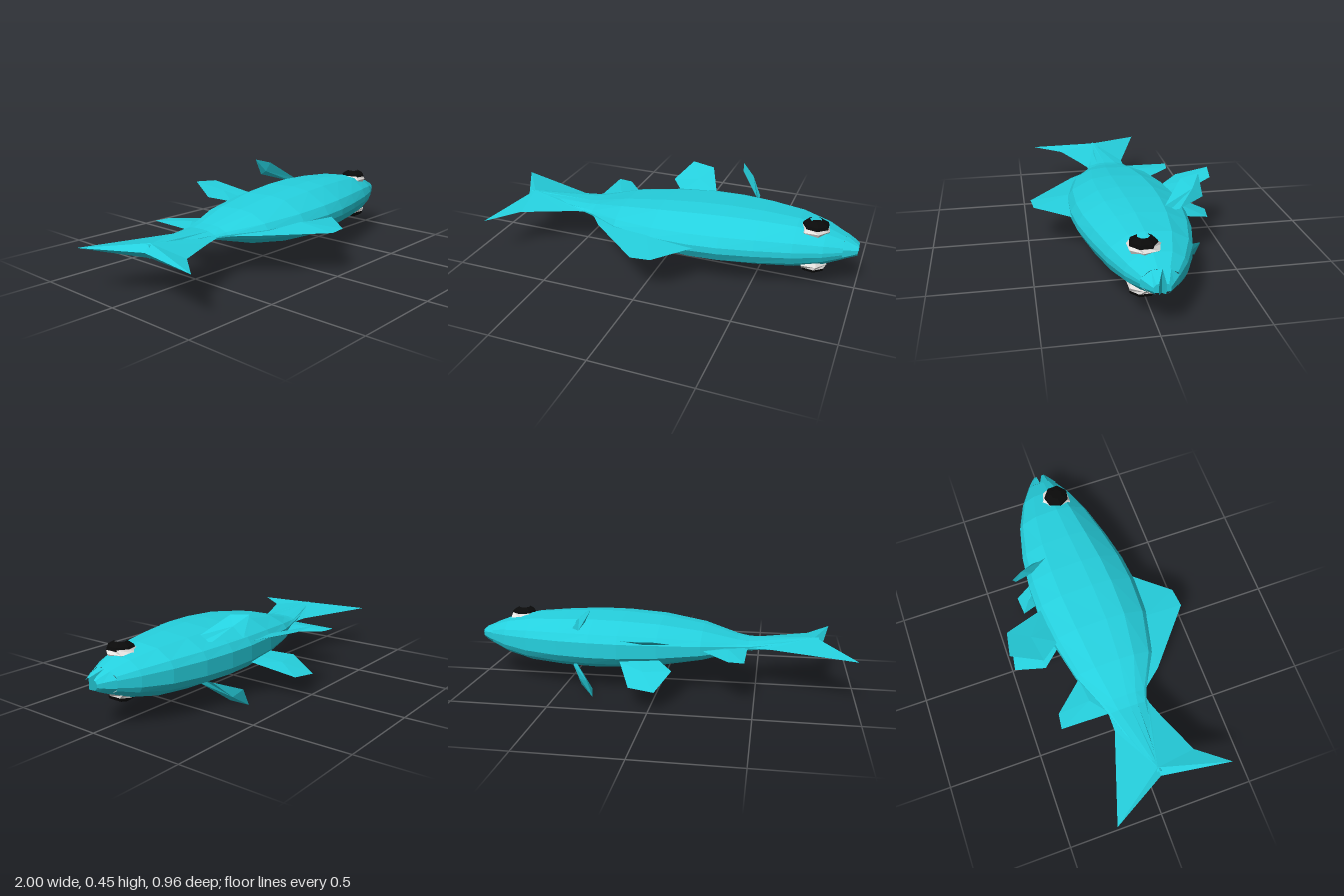
import * as THREE from 'three';

const MID = 0.225; // height of the plane of symmetry (the fish lies on its side)

// Flat-shaded closed mesh from triangles of [x, y, z] points, wound outward by its signed volume
function solid(name, tris, material) {
  const v = tris.map((t) => t.map((p) => new THREE.Vector3(...p)));
  const ref = v[0][0].clone();
  let volume = 0;
  for (const [a, b, c] of v) {
    volume += a.clone().sub(ref).dot(b.clone().sub(ref).cross(c.clone().sub(ref)));
  }
  const points = v.flatMap(([a, b, c]) => (volume < 0 ? [a, c, b] : [a, b, c]));
  const geometry = new THREE.BufferGeometry().setFromPoints(points);
  geometry.computeVertexNormals();
  const mesh = new THREE.Mesh(geometry, material);
  mesh.name = name;
  return mesh;
}

// Skin between equal-sized rings, with a fan cap on both ends
function loft(rings) {
  const tris = [];
  const n = rings[0].length;
  for (let i = 0; i < rings.length - 1; i++) {
    const a = rings[i], b = rings[i + 1];
    for (let j = 0; j < n; j++) {
      const k = (j + 1) % n;
      tris.push([a[j], b[j], b[k]], [a[j], b[k], a[k]]);
    }
  }
  const cap = (r, flip) => {
    const c = [0, 1, 2].map((k) => r.reduce((s, p) => s + p[k], 0) / n);
    r.forEach((p, j) => {
      const q = r[(j + 1) % n];
      tris.push(flip ? [c, q, p] : [c, p, q]);
    });
  };
  cap(rings[0], true);
  cap(rings[rings.length - 1], false);
  return tris;
}

// Thin lens: an outline joined to a raised centre on both sides
function lens(outline, centre, offset) {
  const up = centre.map((c, k) => c + offset[k]);
  const down = centre.map((c, k) => c - offset[k]);
  return outline.flatMap((p, j) => {
    const q = outline[(j + 1) % outline.length];
    return [[up, p, q], [down, q, p]];
  });
}

// Lens lying in the plane of symmetry, outline given as [x, z]
function flatFin(outline, centre, thickness) {
  return lens(outline.map(([x, z]) => [x, MID, z]), [centre[0], MID, centre[1]], [0, thickness, 0]);
}

// Half cross-section: [fraction along back-to-belly, fraction of half thickness]
const HALF = [[1, 0.12], [0.9, 0.46], [0.5, 0.91], [0.12, 1], [-0.5, 0.92], [-0.9, 0.56], [-1, 0.28]];
const SECTION = [...HALF, ...HALF.map(([c, s]) => [c, -s]).reverse()];

function bodyRing([x, back, belly, t]) {
  const mid = (back + belly) / 2, half = (back - belly) / 2;
  return SECTION.map(([c, s]) => [x, MID + s * t, mid + c * half]);
}

// Jaw section from the lip line to the outer edge
function jawRing(x, lip, outer, t) {
  const half = [[0, 1], [0.5, 0.92], [1, 0.35]];
  return [...half, ...half.map(([c, s]) => [c, -s]).reverse()]
    .map(([c, s]) => [x, MID + s * t, lip + (outer - lip) * c]);
}

function eyeRing(x, z, r, height, side, turn) {
  return Array.from({ length: 7 }, (_, i) => {
    const a = (i / 7) * Math.PI * 2 + turn;
    return [x + r * Math.cos(a), MID + side * height, z + r * Math.sin(a)];
  });
}

export function createModel() {
  const skin = new THREE.MeshStandardMaterial({ color: 0x25d0de });
  skin.name = 'turquoise skin';
  const white = new THREE.MeshStandardMaterial({ color: 0xeeebe8 });
  white.name = 'eye white';
  const black = new THREE.MeshStandardMaterial({ color: 0x0a0a0a });
  black.name = 'pupil black';
  for (const m of [skin, white, black]) m.flatShading = true;

  const fish = new THREE.Group();
  fish.name = 'fish';
  const add = (name, tris, material = skin) => fish.add(solid(name, tris, material));

  // Body, from the tail ridge to the mouth corner: [x, back z, belly z, half thickness]
  add('body', loft([
    [-0.82, 0.055, 0.02, 0.034],
    [-0.46, 0.11, -0.10, 0.025],
    [-0.40, 0.13, -0.12, 0.036],
    [-0.22, 0.23, -0.195, 0.085],
    [0.0, 0.283, -0.245, 0.12],
    [0.2, 0.288, -0.27, 0.136],
    [0.35, 0.272, -0.27, 0.14],
    [0.52, 0.235, -0.252, 0.135],
    [0.70, 0.185, -0.21, 0.122],
    [0.84, 0.13, -0.15, 0.093],
    [0.93, 0.078, -0.092, 0.058],
  ].map(bodyRing)));

  // Jaws on each side of the open mouth
  add('upperJaw', loft([jawRing(0.93, -0.016, 0.078, 0.058), jawRing(0.998, 0.012, 0.036, 0.026)]));
  add('lowerJaw', loft([jawRing(0.93, -0.016, -0.092, 0.058), jawRing(0.98, -0.018, -0.055, 0.035),
    jawRing(0.998, -0.02, -0.04, 0.022)]));

  // Forked tail
  add('tailFin', flatFin([
    [-0.44, 0.115], [-0.47, 0.12], [-0.55, 0.15], [-0.77, 0.245], [-0.895, 0.408], [-0.84, 0.04],
    [-1, -0.25], [-0.55, -0.1], [-0.44, -0.1],
  ], [-0.8, 0.035], 0.036));

  // Single fins on the back and belly
  add('dorsalFin', flatFin([
    [-0.40, 0.12], [-0.31, 0.23], [-0.02, 0.478], [0.08, 0.467], [0.24, 0.275], [0, 0.2],
  ], [-0.02, 0.27], 0.02));
  add('analFin', flatFin([
    [-0.455, -0.09], [-0.45, -0.352], [-0.37, -0.342], [-0.23, -0.185], [-0.32, -0.11],
  ], [-0.36, -0.17], 0.012));

  for (const side of [1, -1]) {
    const label = side > 0 ? 'Upper' : 'Lower';
    const place = (pts) => pts.map(([x, h, z]) => [x, MID + side * h, z]);

    // Swept side fins
    const [pecCentre, ...pectoral] = place([
      [0.365, 0.165, -0.29],
      [0.44, 0.12, -0.14], [0.335, 0.215, -0.24], [0.31, 0.225, -0.335],
      [0.37, 0.126, -0.346], [0.44, 0.10, -0.215], [0.445, 0.095, -0.16],
    ]);
    add('pectoralFin' + label, lens(pectoral, pecCentre, [0.014, side * 0.01, 0]));

    // Splayed belly fins
    const [pelCentre, ...pelvic] = place([
      [0.05, 0.076, -0.35],
      [-0.01, 0.045, -0.225], [-0.092, 0.068, -0.325], [-0.03, 0.125, -0.485],
      [0.1, 0.115, -0.462], [0.185, 0.055, -0.255], [0.1, 0.045, -0.235],
    ]);
    add('pelvicFin' + label, lens(pelvic, pelCentre, [0, 0.006, 0]));

    // Faceted eyes with a dark domed pupil
    add('eye' + label, loft([
      eyeRing(0.775, 0.028, 0.068, 0.065, side, 0.2),
      eyeRing(0.775, 0.028, 0.083, 0.092, side, 0.2),
      eyeRing(0.782, 0.034, 0.066, 0.114, side, 0.4),
    ]), white);
    add('pupil' + label, loft([
      eyeRing(0.785, 0.036, 0.068, 0.108, side, 0.4),
      eyeRing(0.785, 0.036, 0.062, 0.124, side, 0.4),
      eyeRing(0.782, 0.036, 0.03, 0.142, side, 0.4),
    ]), black);
  }
  return fish;
}
